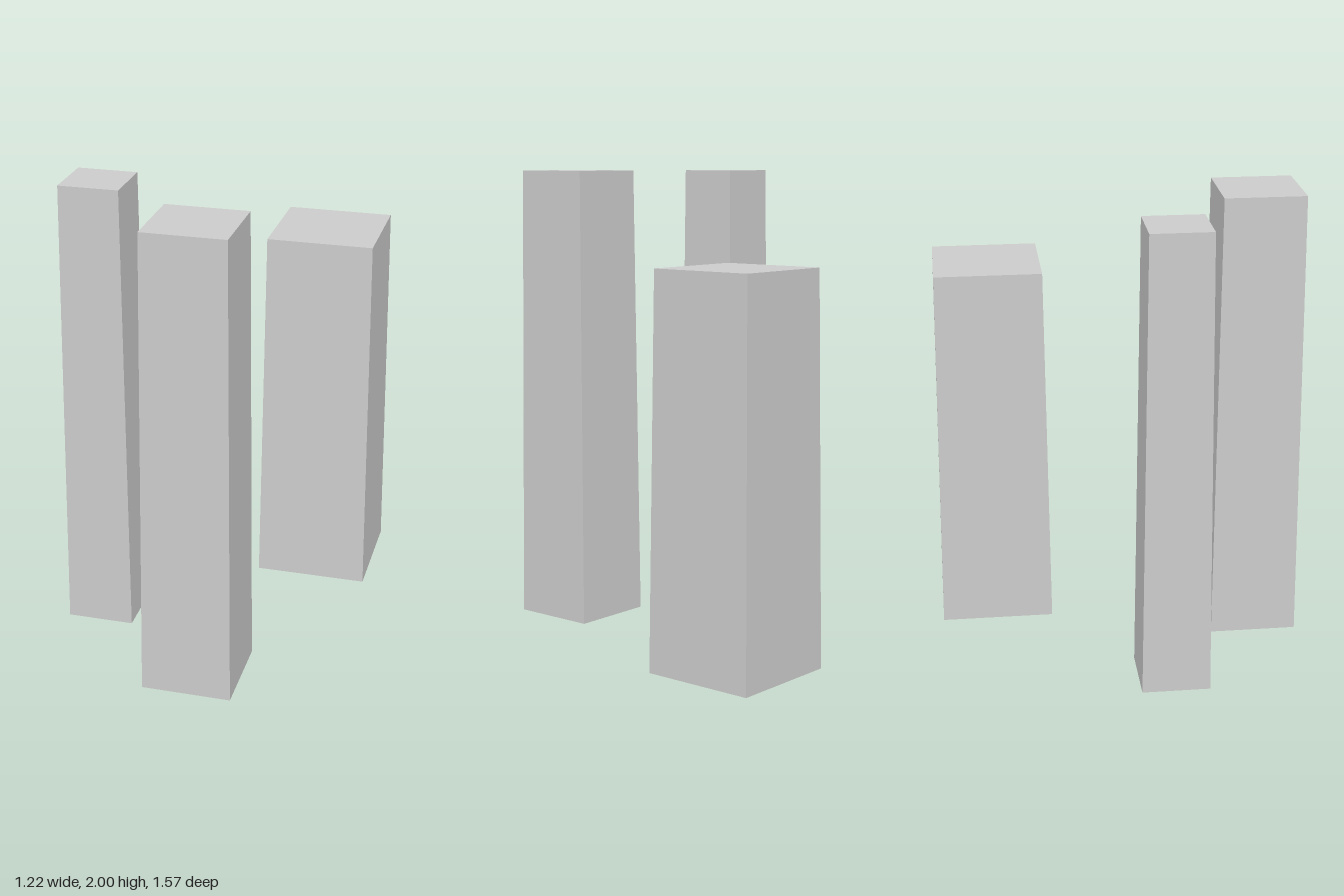
import * as THREE from 'three';

const material = new THREE.MeshStandardMaterial({
  color: 0xcccccc, flatShading: true, side: THREE.DoubleSide,
});

const INSET = 0.017; // each wall leans in by this much at the top

// Square tapered tower standing on y = 0, hollow and open underneath
function tower(name, x, z, width, height) {
  const geometry = new THREE.BoxGeometry(width, height, width);
  geometry.translate(0, height / 2, 0);

  // Draw the top corners inward
  const p = geometry.attributes.position;
  for (let i = 0; i < p.count; i++) {
    if (p.getY(i) < height / 2) continue;
    p.setX(i, p.getX(i) - Math.sign(p.getX(i)) * INSET);
    p.setZ(i, p.getZ(i) - Math.sign(p.getZ(i)) * INSET);
  }

  // Leave out the bottom face (the fourth of the box's six faces)
  const index = Array.from(geometry.index.array);
  index.splice(18, 6);
  geometry.setIndex(index);
  geometry.clearGroups();
  geometry.computeVertexNormals();

  const mesh = new THREE.Mesh(geometry, material);
  mesh.name = name;
  mesh.position.set(x, 0, z);
  return mesh;
}

export function createModel() {
  const group = new THREE.Group();
  group.name = 'towers';
  group.add(
    tower('slimTower', -0.464, 0.18, 0.29, 2),
    tower('frontTower', 0.062, 0.597, 0.38, 2),
    tower('wideBackTower', 0.361, -0.54, 0.495, 1.63),
  );
  return group;
}
